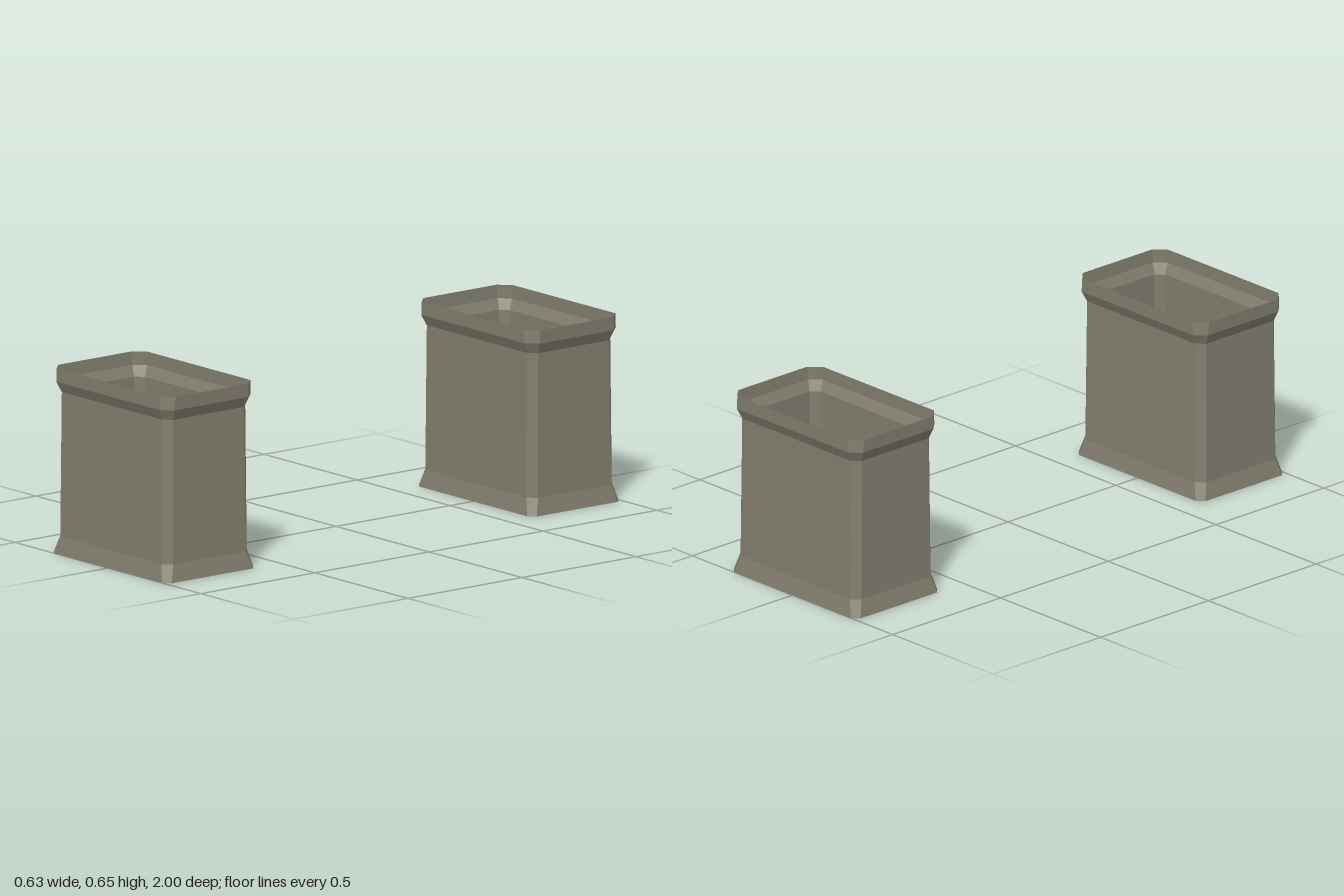
import * as THREE from 'three';

// Cross-sections from the foot to the rim:
// height, half width, half depth, then the flat half width and half depth between chamfers
const SECTIONS = [
  [0, 0.316, 0.2, 0.291, 0.178],
  [0.06, 0.302, 0.187, 0.272, 0.16],
  [0.563, 0.296, 0.182, 0.27, 0.156],
  [0.6, 0.313, 0.199, 0.279, 0.163],
  [0.647, 0.315, 0.2, 0.275, 0.16],
];

// Open sleeve: chamfered rectangles joined by strips of quads
function sleeveGeometry() {
  const positions = [];
  const index = [];
  for (const [y, hx, hz, cx, cz] of SECTIONS) {
    const ring = [
      [hx, -cz], [hx, cz], [cx, hz], [-cx, hz],
      [-hx, cz], [-hx, -cz], [-cx, -hz], [cx, -hz],
    ];
    for (const [x, z] of ring) positions.push(x, y, z);
  }
  for (let s = 0; s < SECTIONS.length - 1; s++) {
    for (let i = 0; i < 8; i++) {
      const a = s * 8 + i;
      const b = s * 8 + ((i + 1) % 8);
      index.push(a, a + 8, b, b, a + 8, b + 8);
    }
  }
  const indexed = new THREE.BufferGeometry();
  indexed.setAttribute('position', new THREE.Float32BufferAttribute(positions, 3));
  indexed.setIndex(index);
  const geometry = indexed.toNonIndexed();
  geometry.computeVertexNormals();
  return geometry;
}

export function createModel() {
  const model = new THREE.Group();
  model.name = 'sleevePair';

  const stone = new THREE.MeshStandardMaterial({ color: 0x827e6f });
  stone.name = 'warm grey';
  stone.side = THREE.DoubleSide;
  stone.flatShading = true;

  // Two identical sleeves, front and back
  const geometry = sleeveGeometry();
  for (const [name, z] of [['frontSleeve', 0.8], ['backSleeve', -0.8]]) {
    const sleeve = new THREE.Mesh(geometry, stone);
    sleeve.name = name;
    sleeve.position.z = z;
    model.add(sleeve);
  }
  return model;
}
